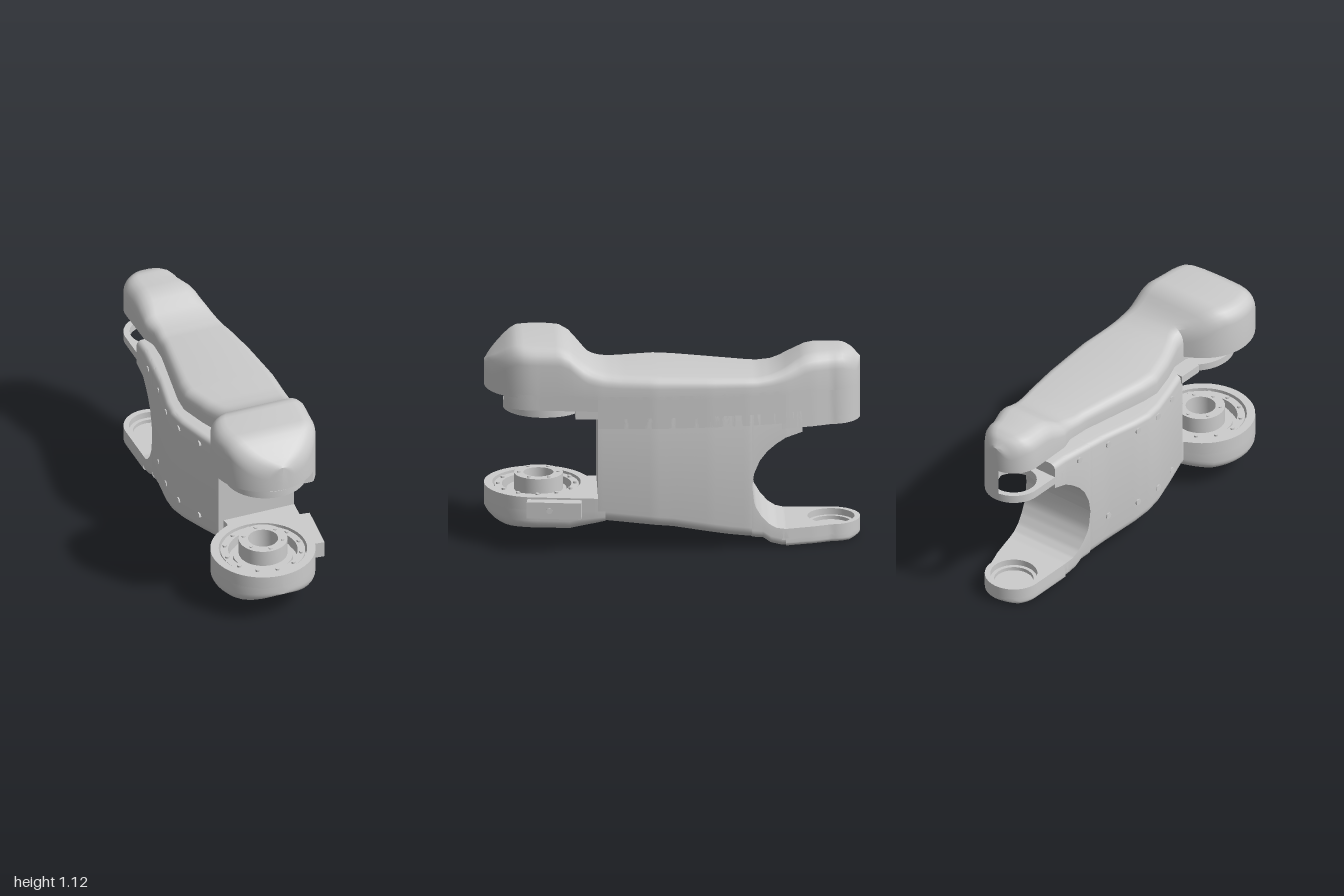
import * as THREE from 'three';
import { toCreasedNormals } from 'three/addons/utils/BufferGeometryUtils.js';

const FRONT = { x: -0.04, z: 0.72, r: 0.28 };   // front joint axis
const REAR = { x: -0.035, z: -0.845, r: 0.155 }; // rear joint axis

// Linear lookup in a table of [z, value], z falling
function lookup(table, z) {
  if (z >= table[0][0]) return table[0][1];
  for (let i = 1; i < table.length; i++) {
    const [z0, v0] = table[i - 1], [z1, v1] = table[i];
    if (z >= z1) return v0 + (v1 - v0) * (z0 - z) / (z0 - z1);
  }
  return table[table.length - 1][1];
}
const chord = (c, z) => Math.sqrt(Math.max(c.r ** 2 - (z - c.z) ** 2, 0.00002));

// Plan outlines: right-hand (+x) flank, cover edge and body edge on the other flank
const FLANK = [[0.72, 0.24], [0.4, 0.27], [0.1, 0.28], [-0.2, 0.26], [-0.4, 0.235], [-0.6, 0.195], [-0.75, 0.155], [-0.845, 0.12]];
const COVER = [[0.46, -0.13], [0.4, -0.135], [0.25, -0.195], [0.1, -0.24], [0, -0.235], [-0.2, -0.2], [-0.4, -0.165], [-0.53, -0.16], [-0.6, -0.185], [-0.845, -0.19]];
const BODY = [[0.4, -0.165], [0.25, -0.215], [0.1, -0.26], [0, -0.275], [-0.1, -0.265], [-0.3, -0.225], [-0.6, -0.19], [-0.845, -0.19]];
const xR = z => z > FRONT.z ? FRONT.x + chord(FRONT, z) : z < REAR.z ? REAR.x + chord(REAR, z) : lookup(FLANK, z);
const edge = table => z => z > 0.46 ? FRONT.x - chord(FRONT, z) : z < REAR.z ? REAR.x - chord(REAR, z) : lookup(table, z);
const coverL = edge(COVER), bodyL = edge(BODY);

// Side profiles
const TOP = [[1, 1.0], [0.97, 1.03], [0.92, 1.07], [0.87, 1.11], [0.83, 1.13], [0.6, 1.13], [0.55, 1.11], [0.48, 1.05], [0.42, 1.015], [0.36, 0.995], [0.28, 0.985],
  [-0.1, 0.97], [-0.45, 0.955], [-0.52, 0.965], [-0.58, 0.985], [-0.66, 1.03], [-0.7, 1.05], [-0.75, 1.06], [-0.91, 1.06], [-0.96, 1.04], [-1, 1.0]];
const BOTTOM = [[0.4, 0.18], [0.3, 0.17], [0, 0.14], [-0.3, 0.085], [-0.48, 0.06], [-0.52, 0.03], [-0.58, 0.012], [-0.94, 0.01], [-1, 0.03]];
const CUT_UPPER = [[-0.42, 0.36], [-0.43, 0.43], [-0.46, 0.5], [-0.5, 0.55], [-0.55, 0.59], [-0.6, 0.62], [-0.69, 0.645]];
const CUT_LOWER = [[-0.42, 0.36], [-0.425, 0.29], [-0.44, 0.24], [-0.47, 0.19], [-0.51, 0.145], [-0.55, 0.12], [-0.6, 0.11]];

// Stations from front to back, packed closer round the two end arcs
function stations(z0, z1, step = 0.025) {
  const list = [z0, z1];
  for (let z = 0.7; z > -0.84; z -= step) list.push(z);
  for (let i = 0; i <= 12; i++) {
    const s = Math.sin(i / 12 * Math.PI / 2);
    list.push(FRONT.z + FRONT.r * s, REAR.z - REAR.r * s);
  }
  return [...new Set(list.filter(z => z <= z0 && z >= z1))].sort((a, b) => b - a);
}

// Box section with rounded corners, counter-clockwise
function section(l, r, b, t, rb = 0, rt = 0) {
  const limit = Math.max(Math.min((r - l) / 2, (t - b) / 2), 0.001) * 0.98;
  const pts = [];
  [[l, b, 1, 1, rb], [r, b, -1, 1, rb], [r, t, -1, -1, rt], [l, t, 1, -1, rt]].forEach(([x, y, sx, sy, rad], k) => {
    const q = Math.min(rad, limit);
    for (let i = 0; i <= 5; i++) {
      const a = Math.PI * (1 + k / 2 + i / 10);
      pts.push([x + sx * q + q * Math.cos(a), y + sy * q + q * Math.sin(a)]);
    }
  });
  return pts;
}

// Skin a run of sections along z, closed at both ends
function loft(zs, fn) {
  const pos = [], idx = [];
  let n = 0;
  for (const z of zs) {
    const s = fn(z);
    n = s.length;
    s.forEach(([x, y]) => pos.push(x, y, z));
  }
  for (let i = 0; i < zs.length - 1; i++) for (let j = 0; j < n; j++) {
    const a = i * n + j, b = i * n + (j + 1) % n;
    idx.push(a, a + n, b, b, a + n, b + n);
  }
  const last = (zs.length - 1) * n;
  for (let j = 1; j < n - 1; j++) idx.push(0, j, j + 1, last, last + j + 1, last + j);
  const g = new THREE.BufferGeometry();
  g.setAttribute('position', new THREE.Float32BufferAttribute(pos, 3));
  g.setIndex(idx);
  return g;
}

// Flat plate following the plan outline, with a round hole
function plate(z0, z1, left, y0, y1, hole, holeR) {
  const zs = stations(z0, z1);
  const pts = zs.map(z => new THREE.Vector2(xR(z), -z));
  zs.reverse().forEach(z => pts.push(new THREE.Vector2(left(z), -z)));
  const shape = new THREE.Shape(pts);
  shape.holes.push(new THREE.Path().absarc(hole.x, -hole.z, holeR, 0, Math.PI * 2, true));
  return new THREE.ExtrudeGeometry(shape, { depth: y1 - y0, bevelEnabled: false, curveSegments: 24 })
    .rotateX(-Math.PI / 2).translate(0, y0, 0);
}

function ring(ri, ro, y0, y1, c) {
  const p = [[ri, y0], [ro, y0], [ro, y1], [ri, y1], [ri, y0]].map(v => new THREE.Vector2(...v));
  return new THREE.LatheGeometry(p, 40).translate(c.x, 0, c.z);
}

export function createModel() {
  const model = new THREE.Group();
  const mat = new THREE.MeshStandardMaterial({ color: 0xcccccc });
  const add = (name, geo) => {
    const mesh = new THREE.Mesh(toCreasedNormals(geo, 0.6), mat);
    mesh.name = name;
    model.add(mesh);
    return mesh;
  };

  // Top cover with its raised ends, and the skirt down one flank
  add('topCover', loft(stations(1, -1), z => section(coverL(z), xR(z), 0.86, lookup(TOP, z), 0, 0.085)));
  const skirt = (name, z0, z1, y) => add(name, loft(stations(z0, z1),
    z => section(Math.max(coverL(z), -0.09, xR(z) - 0.05), xR(z), y, 0.88)));
  skirt('frontSkirt', 0.9, 0.4, 0.795);
  skirt('middleSkirt', 0.4, -0.6, 0.7);
  skirt('rearSkirt', -0.58, -1, 0.67);
  add('coverSupport', loft(stations(0.75, -0.6), z => section(-0.09, Math.min(0.18, xR(z) - 0.03), 0.77, 0.88)));

  // Main body, split behind into an upper and a lower lobe round the curved cut
  add('body', loft(stations(0.4, -0.42), z => section(bodyL(z), xR(z), lookup(BOTTOM, z), 0.79, 0.06, 0.03)));
  add('upperLobe', loft(stations(-0.42, -0.69, 0.01), z => section(bodyL(z), xR(z), lookup(CUT_UPPER, z), 0.79, 0, 0.03)));
  add('lowerLobe', loft(stations(-0.42, -0.62, 0.01), z => section(bodyL(z), xR(z), lookup(BOTTOM, z), lookup(CUT_LOWER, z), 0.045)));

  // Rear joint: upper ring plate, lower tongue with a recessed seat
  add('rearUpperRing', plate(-0.6, -1, bodyL, 0.67, 0.715, REAR, 0.122));
  add('rearTongueBase', loft(stations(-0.6, -1), z => section(bodyL(z), xR(z), lookup(BOTTOM, z), 0.055, 0.03)));
  add('rearTongueRim', plate(-0.58, -1, bodyL, 0.05, 0.11, REAR, 0.125));
  add('rearSeatLip', ring(0.105, 0.13, 0.05, 0.075, REAR));

  // Front lower housing: rounded base, rim and bearing rings
  add('frontHousingBase', loft(stations(1, 0.36), z => {
    const b = 0.13 + 0.05 * Math.max(0, (0.55 - z) / 0.19) + 0.06 * Math.max(0, (z - 0.86) / 0.14) ** 2;
    return section(coverL(z), xR(z), b, 0.24, 0.05);
  }));
  add('frontHousingRim', plate(1, 0.38, coverL, 0.235, 0.31, FRONT, 0.235));
  add('bearingRing', ring(0.185, 0.225, 0.23, 0.3, FRONT));
  add('bearingStep', ring(0.1, 0.16, 0.23, 0.275, FRONT));
  add('hub', ring(0.08, 0.13, 0.23, 0.365, { x: -0.035, z: 0.71 }));
  for (let i = 0; i < 12; i++) {
    const a = i * Math.PI / 6;
    add('bearingBolt', new THREE.CylinderGeometry(0.011, 0.011, 0.02, 10)
      .translate(FRONT.x + 0.205 * Math.cos(a), 0.3, FRONT.z + 0.205 * Math.sin(a)));
    if (i % 2) add('hubBolt', new THREE.CylinderGeometry(0.01, 0.01, 0.012, 10)
      .translate(-0.035 + 0.105 * Math.cos(a), 0.365, 0.71 + 0.105 * Math.sin(a)));
  }

  // Front upper flange under the cover
  const upper = { x: -0.01, z: 0.68 };
  add('upperFlange', ring(0.13, 0.22, 0.745, 0.785, upper));
  add('upperHub', ring(0.08, 0.15, 0.73, 0.805, upper));
  add('flangeArm', new THREE.BoxGeometry(0.42, 0.045, 0.14).translate(0.03, 0.767, 0.45));

  // Small connector block on the flank
  const block = add('sideBlock', new THREE.BoxGeometry(0.075, 0.09, 0.29));
  block.position.set(0.268, 0.255, 0.632);
  block.rotation.y = -0.11;
  const port = add('blockPort', new THREE.CylinderGeometry(0.016, 0.016, 0.008, 12).rotateZ(Math.PI / 2));
  port.position.set(0.305, 0.255, 0.66);

  // Screw heads along the body edge
  for (const z of [0.25, 0.08, -0.09, -0.29, -0.5]) for (const y of [0.73, 0.27]) {
    add('bodyScrew', new THREE.CylinderGeometry(0.018, 0.018, 0.012, 12).rotateZ(Math.PI / 2)
      .translate(bodyL(z), z < -0.42 ? 0.73 : y, z));
  }
  return model;
}
